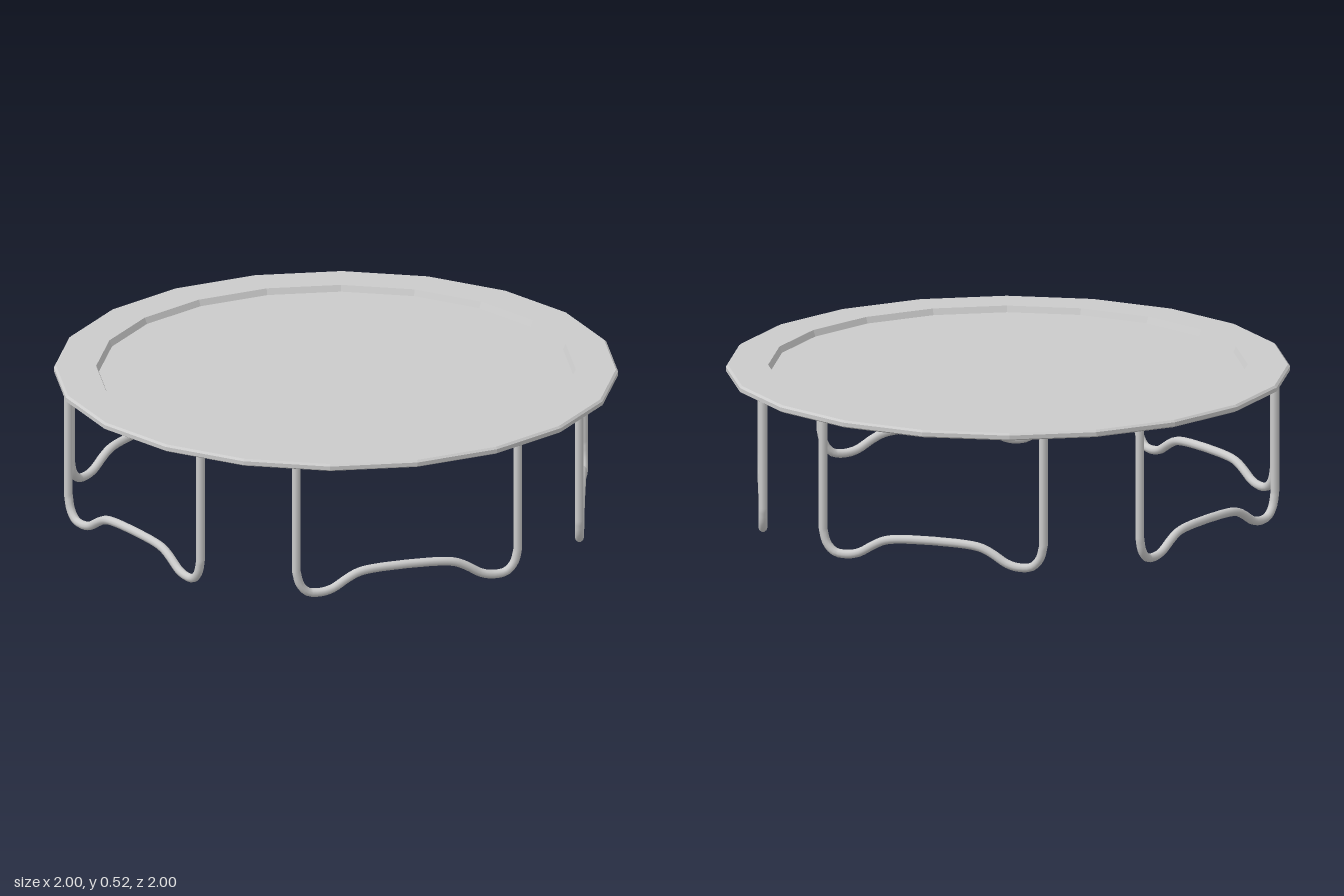
import * as THREE from 'three';

const material = new THREE.MeshStandardMaterial({ color: 0xcccccc });
const flatMaterial = new THREE.MeshStandardMaterial({ color: 0xcccccc, flatShading: true });
const SIDES = 20;
const LEGS = 5;
const BOTTOM = 0.498;

function mesh(name, geometry, mat) {
  const m = new THREE.Mesh(geometry, mat);
  m.name = name;
  return m;
}

// Bent tube: two uprights joined by a foot curve that rises in the middle
function legGeometry() {
  const half = [[0.41, 0.105], [0.397, 0.055], [0.368, 0.024], [0.325, 0.017], [0.275, 0.027],
    [0.225, 0.057], [0.18, 0.078], [0.12, 0.087]];
  const pts = [...half.map(([x, y]) => [-x, y]), ...half.slice().reverse()]
    .map(([x, y]) => new THREE.Vector3(x, y, 0));
  const foot = new THREE.CatmullRomCurve3(pts).getPoints(44);
  const path = new THREE.CurvePath();
  const line = [new THREE.Vector3(-0.41, 0.505, 0), ...foot, new THREE.Vector3(0.41, 0.505, 0)];
  for (let i = 1; i < line.length; i++) path.add(new THREE.LineCurve3(line[i - 1], line[i]));
  return new THREE.TubeGeometry(path, 110, 0.0155, 10);
}

export function createModel() {
  const group = new THREE.Group();

  // Padded rim with a chamfered outer edge
  const profile = [[0.838, BOTTOM], [0.99, BOTTOM], [1, 0.504], [1, 0.518], [0.992, 0.525],
    [0.85, 0.525], [0.84, 0.502], [0.838, BOTTOM]].map(([x, y]) => new THREE.Vector2(x, y));
  group.add(mesh('rimPad', new THREE.LatheGeometry(profile, SIDES), flatMaterial));

  // Jumping mat, sunk below the rim
  const mat = mesh('jumpingMat', new THREE.CylinderGeometry(0.842, 0.84, 0.005, SIDES), flatMaterial);
  mat.position.y = BOTTOM + 0.0025;
  group.add(mat);

  // Five legs around the rim, the first on the -x side
  const geometry = legGeometry();
  for (let i = 0; i < LEGS; i++) {
    const leg = mesh('leg' + (i + 1), geometry, material);
    const a = -Math.PI / 2 + (i * Math.PI * 2) / LEGS;
    leg.position.set(Math.sin(a) * 0.87, 0, Math.cos(a) * 0.87);
    leg.rotation.y = a;
    group.add(leg);
  }
  return group;
}
